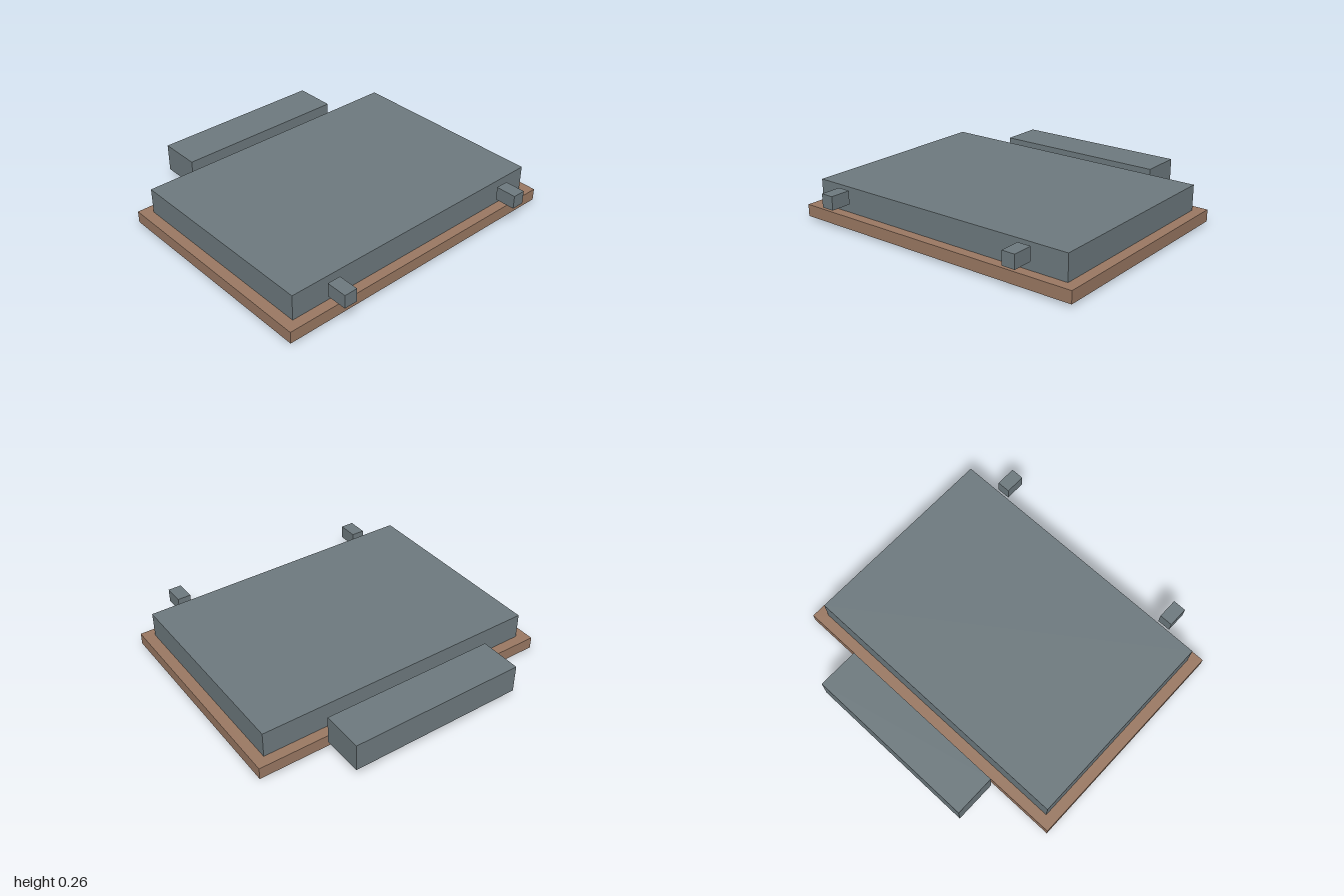
import * as THREE from 'three';

const mat = (name, color) => {
  const m = new THREE.MeshStandardMaterial({ color });
  m.name = name;
  return m;
};

export function createModel() {
  const model = new THREE.Group();
  const grey = mat('slate grey casing', 0x6f7b80);
  const brown = mat('brown frame', 0x9c7a64);
  const glass = mat('pale teal glass', 0xa0b9b4);
  const copper = mat('copper switch', 0xb5764a);
  const cyan = mat('pale cyan lamp', 0xb4dce2);

  const add = (name, geometry, material) => {
    const mesh = new THREE.Mesh(geometry, material);
    mesh.name = name;
    model.add(mesh);
    return mesh;
  };
  // Box given by its extents on each axis
  const box = (name, material, [x0, x1], [y0, y1], [z0, z1]) => {
    const mesh = add(name, new THREE.BoxGeometry(x1 - x0, y1 - y0, z1 - z0), material);
    mesh.position.set((x0 + x1) / 2, (y0 + y1) / 2, (z0 + z1) / 2);
    return mesh;
  };
  // Upright cylinder
  const disc = (name, material, r, x, z, y0, y1, sides = 24) => {
    const mesh = add(name, new THREE.CylinderGeometry(r, r, y1 - y0, sides), material);
    mesh.position.set(x, (y0 + y1) / 2, z);
    return mesh;
  };
  const rect = (path, x, z0, z1) => {
    path.moveTo(-x, z0);
    path.lineTo(x, z0);
    path.lineTo(x, z1);
    path.lineTo(-x, z1);
    path.closePath();
    return path;
  };

  // Screen lying face down: casing, surrounding frame and recessed glass
  box('rearCasing', grey, [-0.93, 0.93], [0.09, 0.257], [-0.57, 0.75]);
  const outline = rect(new THREE.Shape(), 1, -0.637, 0.815);
  outline.holes.push(rect(new THREE.Path(), 0.87, -0.54, 0.67));
  const frameGeo = new THREE.ExtrudeGeometry(outline, { depth: 0.077, bevelEnabled: false });
  frameGeo.rotateX(Math.PI / 2);
  const frame = add('screenFrame', frameGeo, brown);
  frame.position.y = 0.092;
  box('screenGlass', glass, [-0.872, 0.872], [0.065, 0.089], [-0.542, 0.672]);
  box('framePlate', brown, [-0.16, 0.16], [0, 0.015], [-0.603, -0.555]);

  // Two blocks along the front edge
  for (const s of [-1, 1]) {
    const x = s * 0.682;
    box(s > 0 ? 'leftFoot' : 'rightFoot', grey, [x - 0.043, x + 0.043], [0.17, 0.257], [0.797, 0.93]);
  }

  // Separate control box with its controls underneath
  box('controlBox', grey, [-0.57, 0.57], [0.077, 0.257], [-0.932, -0.662]);
  box('grillePanel', grey, [0.12, 0.44], [0.068, 0.077], [-0.89, -0.70]);
  for (let i = 0; i < 4; i++) {
    const z = -0.85 + i * 0.037;
    box('grilleSlat' + (i + 1), grey, [0.15, 0.41], [0.062, 0.068], [z - 0.008, z + 0.008]);
  }
  for (const [i, x] of [-0.22, -0.39].entries()) {
    disc('knob' + (i + 1), grey, 0.051, x, -0.79, 0.035, 0.077);
  }
  box('switch', copper, [-0.06, 0.02], [0.055, 0.077], [-0.81, -0.765]);
  disc('lamp1', cyan, 0.013, 0.47, -0.735, 0.06, 0.077, 12);
  disc('lamp2', cyan, 0.013, -0.03, -0.855, 0.06, 0.077, 12);

  return model;
}
